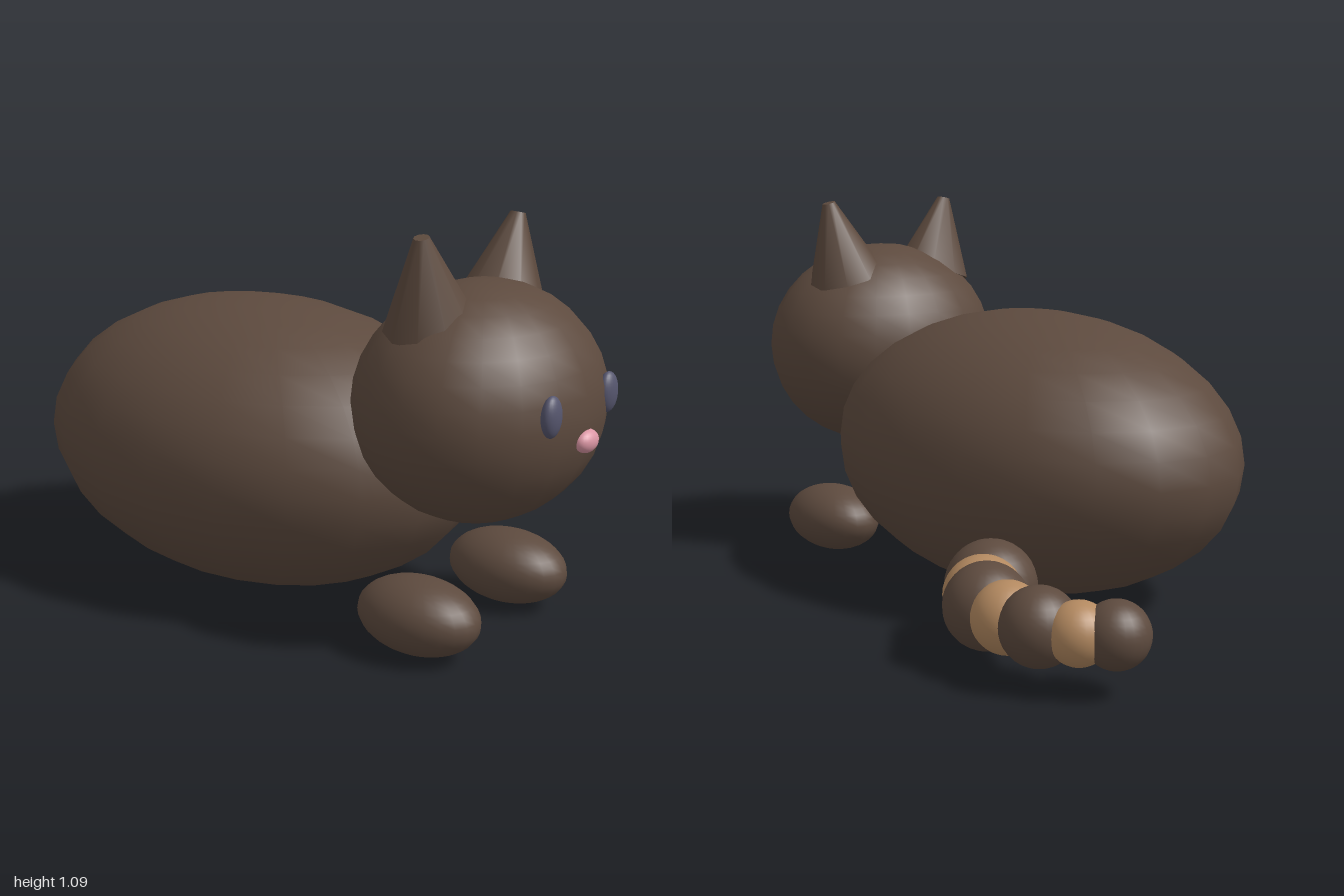
import * as THREE from 'three';

const mat = (name, color) => {
  const m = new THREE.MeshStandardMaterial({ color });
  m.name = name;
  return m;
};

export function createModel() {
  const group = new THREE.Group();
  const fur = mat('brown fur', 0x5d4a3e);
  const tan = mat('tan stripe', 0xb38960);
  const iris = mat('slate eye', 0x56566e);
  const pink = mat('pink nose', 0xdb96a4);

  const ball = new THREE.SphereGeometry(1, 20, 16);
  const smallBall = new THREE.SphereGeometry(1, 24, 18);
  const ellipsoid = (name, material, pos, radii, geo = smallBall) => {
    const mesh = new THREE.Mesh(geo, material);
    mesh.name = name;
    mesh.position.set(...pos);
    mesh.scale.set(...radii);
    group.add(mesh);
    return mesh;
  };

  // The body's centre line sits to one side of the tail
  const cx = -0.116;
  ellipsoid('body', fur, [cx, 0.403, -0.055], [0.485, 0.4, 0.683], ball);
  ellipsoid('head', fur, [cx, 0.637, 0.665], [0.364, 0.313, 0.315], ball);
  ellipsoid('nose', pink, [cx, 0.586, 0.974], [0.042, 0.03, 0.026]);

  // Blunt cone ears, leaning outward
  const earGeo = new THREE.CylinderGeometry(0.02, 0.121, 0.24, 10);
  for (const [side, s] of [['right', -1], ['left', 1]]) {
    const ear = new THREE.Mesh(earGeo, fur);
    ear.name = side + 'Ear';
    ear.position.set(cx + s * 0.195, 0.97, 0.622);
    ear.rotation.set(0.03, 0, -s * 0.25);
    group.add(ear);

    ellipsoid(side + 'Eye', iris, [cx + s * 0.141, 0.676, 0.953], [0.036, 0.053, 0.022]);
    ellipsoid(side + 'Paw', fur, [cx + s * 0.218, 0.108, 0.635], [0.12, 0.1, 0.174]);
  }

  // Tail of overlapping balls in alternating colours: x, z, radius
  const tail = [
    [0.352, -0.41, 0.122], [0.425, -0.465, 0.105], [0.478, -0.54, 0.112],
    [0.503, -0.645, 0.092], [0.495, -0.75, 0.1], [0.46, -0.85, 0.08], [0.4, -0.915, 0.085],
  ];
  tail.forEach(([x, z, r], i) => {
    ellipsoid('tailSegment' + (i + 1), i % 2 ? tan : fur, [x, 0.157, z], [r, r, r]);
  });

  return group;
}
